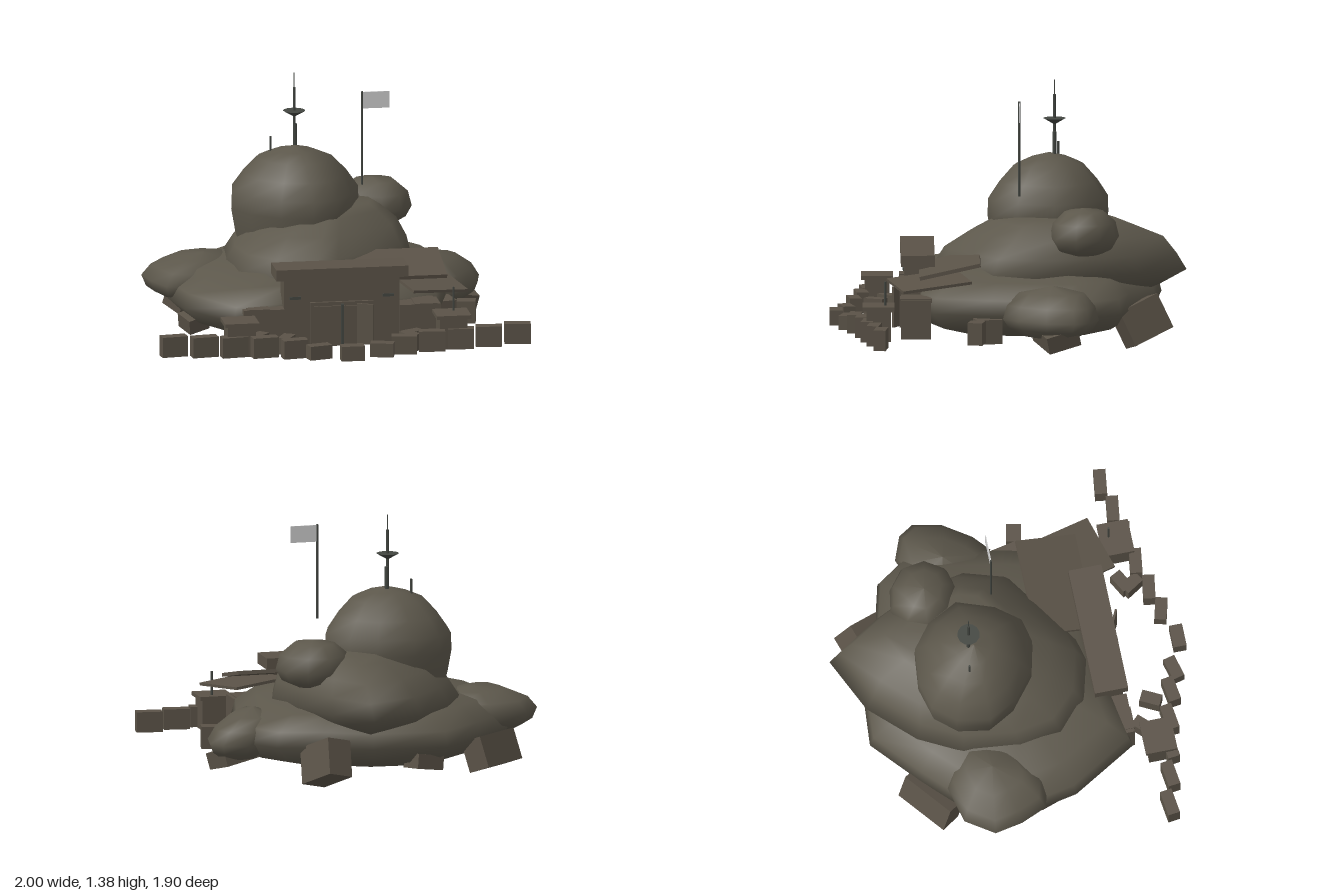
import * as THREE from 'three';

const material = (name, color, side = THREE.FrontSide) => {
  const m = new THREE.MeshStandardMaterial({ color, side });
  m.name = name;
  return m;
};

export function createModel() {
  const model = new THREE.Group();
  model.name = 'rockBunker';
  const stone = material('stone', 0x5c574b);
  const concrete = material('concrete', 0x5a5247);
  const metal = material('metal', 0x434641);
  const cloth = material('flagCloth', 0xcccccc, THREE.DoubleSide);

  const add = (name, geometry, mat, x = 0, y = 0, z = 0, ry = 0, rx = 0, rz = 0) => {
    const mesh = new THREE.Mesh(geometry, mat);
    mesh.name = name;
    mesh.position.set(x, y, z);
    mesh.rotation.set(rx, ry, rz, 'YXZ');
    model.add(mesh);
  };
  const box = (name, mat, w, h, d, ...place) => add(name, new THREE.BoxGeometry(w, h, d), mat, ...place);
  const rod = (name, r, y0, y1, x, z) =>
    add(name, new THREE.CylinderGeometry(r, r, y1 - y0, 6), metal, x, (y0 + y1) / 2, z);

  // Smooth boulder: a plan outline [x, z] scaled about a centre at each level [y, scale, dx, dz]
  const rock = (name, cx, cz, outline, levels) => {
    const ring = [...outline].sort((a, b) =>
      Math.atan2(a[1] - cz, a[0] - cx) - Math.atan2(b[1] - cz, b[0] - cx));
    const n = ring.length, pos = [], index = [];
    levels.forEach(([y, s, dx = 0, dz = 0], i) => {
      for (const [x, z] of ring) pos.push(cx + (x - cx) * s + dx, y, cz + (z - cz) * s + dz);
      if (i === 0) return;
      for (let j = 0; j < n; j++) {
        const a = (i - 1) * n + j, b = (i - 1) * n + (j + 1) % n;
        index.push(a, a + n, b, b, a + n, b + n);
      }
    });
    const g = new THREE.BufferGeometry();
    g.setAttribute('position', new THREE.Float32BufferAttribute(pos, 3));
    g.setIndex(index);
    g.computeVertexNormals();
    add(name, g, stone);
  };

  // Boulders
  rock('baseRock', -0.05, -0.12,
    [[-0.58, 0.55], [-0.3, 0.5], [0, 0.49], [0.3, 0.49], [0.55, 0.4], [0.63, 0.1], [0.68, -0.2], [0.7, -0.42],
      [0.58, -0.6], [0.35, -0.66], [0.1, -0.79], [-0.3, -0.82], [-0.55, -0.6], [-0.75, -0.4], [-0.84, -0.05], [-0.79, 0.2]],
    [[0.07, 0], [0.075, 0.6], [0.13, 0.88], [0.22, 1], [0.3, 0.97], [0.38, 0.82], [0.44, 0.5], [0.45, 0]]);
  rock('middleRock', -0.03, -0.28,
    [[0.14, -0.95], [0.3, -0.7], [0.42, -0.45], [0.48, -0.15], [0.41, 0.08], [0.2, 0.23], [0, 0.36], [-0.12, 0.39],
      [-0.35, 0.33], [-0.5, 0.18], [-0.54, -0.05], [-0.5, -0.35], [-0.38, -0.58], [-0.16, -0.81]],
    [[0.24, 0.65, 0, 0.08], [0.32, 0.88, 0, 0.06], [0.4, 1], [0.49, 0.92, 0.02], [0.58, 0.77, 0.05, -0.03],
      [0.65, 0.55, 0.08], [0.68, 0.43, 0.09], [0.69, 0, 0.09]]);
  rock('domeRock', -0.13, -0.22,
    [[-0.48, -0.2], [-0.45, -0.38], [-0.35, -0.5], [-0.2, -0.54], [0, -0.52], [0.13, -0.42],
      [0.22, -0.25], [0.15, -0.05], [0.05, 0.08], [-0.08, 0.11], [-0.25, 0.07], [-0.4, -0.05]],
    [[0.45, 0.86], [0.54, 0.93], [0.66, 0.99], [0.75, 0.98], [0.84, 0.8], [0.925, 0.57], [0.965, 0.3], [0.99, 0]]);
  rock('shoulderRock', 0.32, -0.4,
    [[0.12, -0.42], [0.17, -0.53], [0.28, -0.59], [0.4, -0.57], [0.5, -0.49], [0.52, -0.36],
      [0.45, -0.25], [0.34, -0.22], [0.2, -0.28]],
    [[0.5, 0], [0.51, 0.5], [0.54, 0.84], [0.6, 1], [0.68, 0.9], [0.74, 0.55], [0.755, 0]]);
  rock('rightFlankRock', -0.7, -0.22,
    [[-0.95, -0.27], [-0.85, -0.42], [-0.65, -0.47], [-0.47, -0.4], [-0.43, -0.25], [-0.5, -0.1],
      [-0.63, 0], [-0.75, 0.05], [-0.86, 0.02], [-0.92, -0.12]],
    [[0.18, 0], [0.2, 0.6], [0.24, 0.9], [0.3, 1], [0.36, 0.88, 0.02], [0.41, 0.56, 0.06], [0.425, 0, 0.08]]);
  rock('leftFlankRock', 0.71, -0.24,
    [[0.5, -0.28], [0.58, -0.43], [0.7, -0.48], [0.83, -0.43], [0.88, -0.35], [0.85, -0.2],
      [0.75, -0.05], [0.66, 0.03], [0.54, -0.08]],
    [[0.1, 0], [0.12, 0.55], [0.16, 0.87], [0.21, 1], [0.28, 0.92, -0.03], [0.345, 0.68, -0.08], [0.38, 0, -0.1]]);

  // Fallen slabs around the foot of the rock
  [
    [0.31, 0.17, 0.13, -0.62, 0.135, -0.55, 0.68, 0.35, 0],
    [0.15, 0.2, 0.24, 0.34, 0.151, -0.71, 0.45, 0.38, 0.25],
    [0.1, 0.12, 0.08, 0.73, 0.145, 0.17, -0.2, 0, 0],
    [0.1, 0.13, 0.14, 0.62, 0.14, 0.11, 0.2, 0, 0],
    [0.27, 0.09, 0.18, 0.7, 0.13, -0.25, 0.3, 0.25, -0.15],
    [0.12, 0.08, 0.12, -0.72, 0.12, 0.06, 0.4, 0.2, 0.2],
    [0.16, 0.08, 0.14, -0.2, 0.128, -0.71, 0.3, 0.1, 0.15],
  ].forEach((p) => box('fallenSlab', concrete, ...p));

  // Entrance block with lintel, door leaves and slits
  box('entranceBlock', concrete, 0.62, 0.36, 0.13, 0, 0.26, 0.485);
  box('lintel', concrete, 0.71, 0.06, 0.18, 0, 0.475, 0.48);
  box('doorFrame', concrete, 0.34, 0.24, 0.02, 0, 0.2, 0.556);
  for (const s of [-1, 1]) {
    box('doorLeaf', concrete, 0.145, 0.21, 0.012, s * 0.08, 0.195, 0.57);
    box('wallSlit', metal, 0.06, 0.015, 0.008, s * 0.25, 0.345, 0.552);
    box('sideWing', concrete, 0.22, 0.21, 0.16, s * 0.42, 0.185, 0.49);
    box('wingCap', concrete, 0.12, 0.02, 0.17, s * 0.45, 0.285, 0.49);
  }
  box('doorPost', metal, 0.015, 0.22, 0.02, 0, 0.2, 0.575);
  box('openDoor', concrete, 0.09, 0.22, 0.012, 0.12, 0.2, 0.59, -0.45);

  // Leaning roof sheets beside the entrance
  box('upperRoofSheet', concrete, 0.54, 0.02, 0.33, 0.31, 0.45, 0.31, 0, 0.22);
  box('lowerRoofSheet', concrete, 0.32, 0.015, 0.38, 0.475, 0.385, 0.42, 0.27, 0.1, -0.08);
  rod('roofPost', 0.006, 0.2, 0.4, 0.585, 0.655);

  // Guard posts and barricade, mirrored about the entrance
  for (const s of [-1, 1]) {
    box('guardPost', concrete, 0.15, 0.17, 0.13, s * 0.57, 0.17, 0.69);
    box('guardPostRoof', concrete, 0.185, 0.02, 0.17, s * 0.57, 0.262, 0.69);
    [
      [0.925, 0.68, 0.14, 0.11, 0.13], [0.765, 0.715, 0.14, 0.11, 0.13], [0.61, 0.745, 0.14, 0.11, 0.13],
      [0.45, 0.775, 0.14, 0.11, 0.13], [0.295, 0.815, 0.135, 0.1, 0.15], [0.17, 0.855, 0.125, 0.075, 0.25],
    ].forEach(([x, z, w, h, turn]) =>
      box('barricadeBlock', concrete, w, h, 0.065, s * x, 0.088 + h / 2, z, -s * turn));
  }
  box('barricadeBlock', concrete, 0.125, 0.08, 0.07, 0, 0.128, 0.912);
  [[-0.46, 0.63, 0.8], [-0.32, 0.7, 1.1], [0.34, 0.73, -1.0], [0.36, 0.68, 0.5]].forEach(([x, z, turn]) =>
    box('looseBlock', concrete, 0.11, 0.09, 0.065, x, 0.133, z, turn));

  // Mast with dish, and a short aerial
  rod('mast', 0.008, 0.95, 1.3, -0.13, -0.25);
  rod('mastTip', 0.003, 1.3, 1.38, -0.13, -0.25);
  rod('mastSleeve', 0.011, 0.95, 1.1, -0.125, -0.25);
  add('dish', new THREE.ConeGeometry(0.06, 0.035, 12), metal, -0.13, 1.155, -0.25, 0, Math.PI);
  rod('shortAerial', 0.006, 0.88, 1.03, -0.255, -0.27);

  // Flag
  rod('flagPole', 0.006, 0.8, 1.31, 0.205, -0.06);
  box('flag', cloth, 0.145, 0.09, 0.005, 0.28, 1.262, -0.06);

  return model;
}
